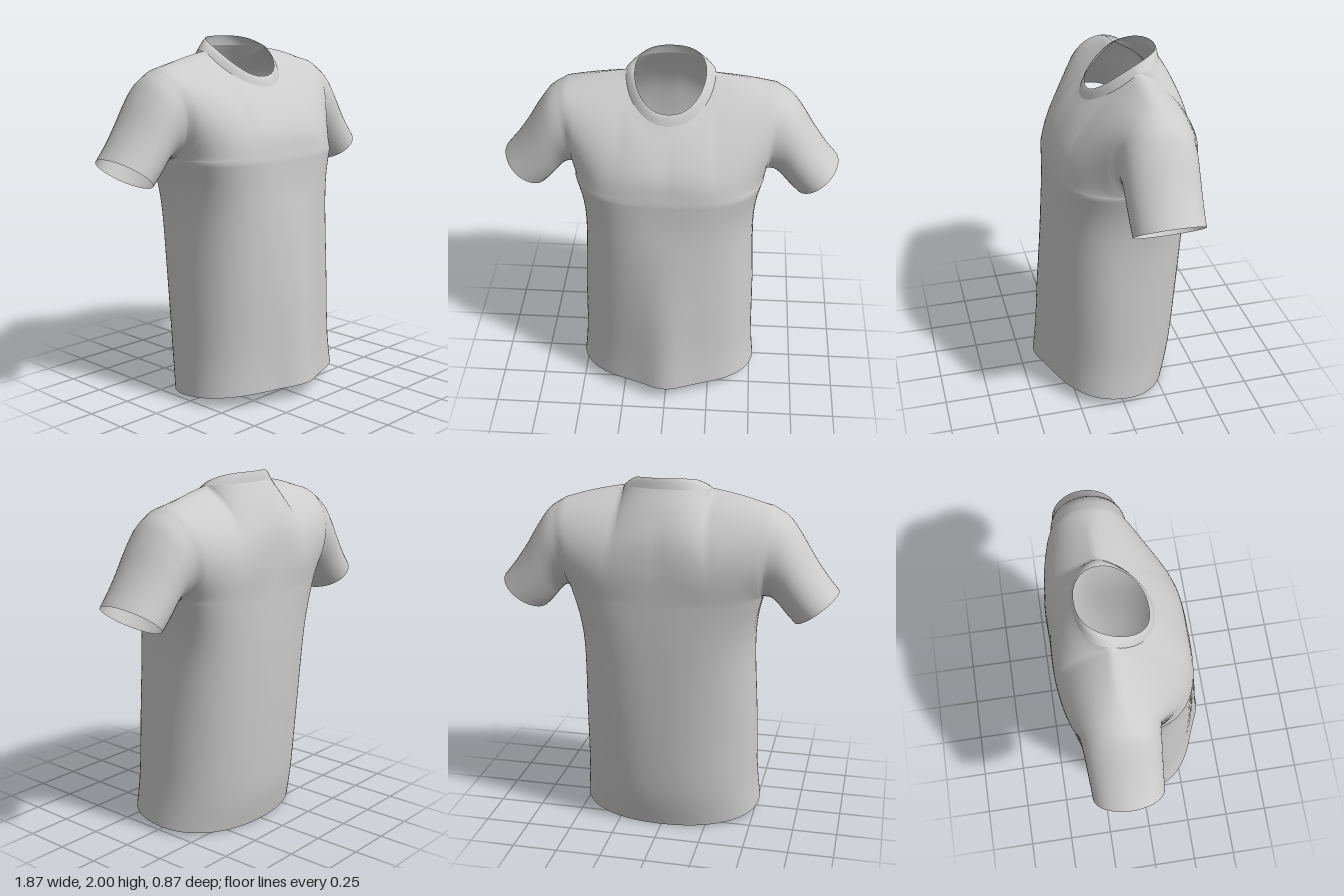
import * as THREE from 'three';
import { mergeGeometries, mergeVertices } from 'three/addons/utils/BufferGeometryUtils.js';

const V = (x, y, z) => new THREE.Vector3(x, y, z);
const N = 24;          // columns per half panel
const NECK = 10;       // column where the neckline meets the shoulder
const LOW = 30;        // rows from hem to armpit
const UP = 20;         // rows from armpit to shoulder
const MID_Z = -0.14;   // depth of the shoulder and armpit line

// Grid surface: i runs right and j runs up when seen from outside
function grid(nu, nv, point) {
  const pos = [], index = [];
  for (let j = 0; j <= nv; j++)
    for (let i = 0; i <= nu; i++) pos.push(...point(i, j).toArray());
  for (let j = 0; j < nv; j++)
    for (let i = 0; i < nu; i++) {
      const a = j * (nu + 1) + i, d = a + nu + 1;
      index.push(a, a + 1, d + 1, a, d + 1, d);
    }
  const g = new THREE.BufferGeometry();
  g.setAttribute('position', new THREE.Float32BufferAttribute(pos, 3));
  g.setIndex(index);
  return g;
}

function weld(parts) {
  const g = mergeVertices(mergeGeometries(parts), 1e-4);
  g.computeVertexNormals();
  return g;
}

// Torso sections: height, half width, seam z, front z, back z, squareness, centre ridge, hem tilt
const sections = [
  [0.04, 0.52, 0.02, 0.375, -0.34, 2.2, 0.055, 0.11],
  [0.25, 0.503, 0.0, 0.365, -0.385, 2.2, 0.045, 0.07],
  [0.6, 0.495, -0.03, 0.355, -0.412, 2.3, 0.03, 0.02],
  [1.0, 0.48, -0.08, 0.335, -0.428, 2.6, 0.01, 0],
  [1.2, 0.493, -0.115, 0.322, -0.432, 2.8, 0, 0],
  [1.36, 0.53, MID_Z, 0.315, -0.433, 3, 0, 0],
];
const splines = sections[0].map((_, k) =>
  new THREE.SplineCurve(sections.map((s, i) => new THREE.Vector2(i, s[k]))));

// Point on the torso below the armpits; u 0..1 from centre to side seam
function torso(u, t, front) {
  const [y, w, zs, zf, zb, n, ridge, tilt] = splines.map(c => c.getPoint(t).y);
  const s = Math.sin(u * Math.PI / 2);
  const f = u >= 1 ? 0 : Math.pow(1 - Math.pow(s, n), 1 / n);
  const x = w * s;
  let z = zs + ((front ? zf : zb) - zs) * f;
  if (front) z += ridge * Math.exp(-((x / 0.14) ** 2));
  return V(x, y + tilt * (z - zs), z);
}

// Sleeve outlines: top and underside, from armhole to cuff
const sleeveTop = new THREE.CatmullRomCurve3([V(0.57, 1.85, MID_Z), V(0.655, 1.795, MID_Z),
  V(0.72, 1.71, MID_Z), V(0.8, 1.58, MID_Z), V(0.87, 1.48, MID_Z), V(0.935, 1.4, MID_Z)]);
const sleeveUnder = new THREE.CatmullRomCurve3([V(0.53, 1.36, MID_Z), V(0.572, 1.358, MID_Z),
  V(0.605, 1.335, MID_Z), V(0.64, 1.295, MID_Z), V(0.67, 1.26, MID_Z), V(0.705, 1.225, MID_Z)]);

// Sleeve ring at t; a runs 0..2 from the underside up the front and down the back
function sleeve(t, a) {
  const p = sleeveUnder.getPoint(t).lerp(sleeveTop.getPoint(t), (1 - Math.cos(a * Math.PI)) / 2);
  const r = THREE.MathUtils.lerp(a < 1 ? 0.21 : 0.22, 0.19, Math.sqrt(t));
  p.z += r * Math.sin(a * Math.PI);
  return p;
}

// Neck seam around the collar; phi 0 is the front centre, PI the back centre
function neckSeam(phi) {
  const c = Math.cos(phi);
  return V(0.24 * Math.sin(phi), 1.93 + (c > 0 ? -0.195 : -0.015) * c, -0.13 + (c > 0 ? 0.25 : 0.17) * c);
}

// Upper edge of a panel: neckline, then shoulder seam
function topEdge(u, front) {
  const un = NECK / N;
  if (u <= un + 1e-9) {
    const q = u / un * Math.PI / 2;
    return neckSeam(front ? q : Math.PI - q);
  }
  const k = (u - un) / (1 - un);
  const p = neckSeam(Math.PI / 2).lerp(sleeveTop.getPoint(0), k);
  p.y += 0.008 * Math.sin(k * Math.PI);
  return p;
}

const centre = {
  front: new THREE.CatmullRomCurve3([V(0, 1.36, 0.315), V(0, 1.5, 0.283), V(0, 1.63, 0.205), V(0, 1.735, 0.12)]),
  back: new THREE.CatmullRomCurve3([V(0, 1.36, -0.433), V(0, 1.54, -0.434), V(0, 1.7, -0.415),
    V(0, 1.84, -0.36), V(0, 1.945, -0.3)]),
};

// Blend from centre line to armhole, easing the depth across the chest
function across(u, v, front) {
  const c = centre[front ? 'front' : 'back'].getPoint(v);
  const e = sleeve(0, front ? v : 2 - v);
  const g = Math.pow(u, 1.7);
  return V(e.x * u, c.y + (e.y - c.y) * g, c.z + (e.z - c.z) * g);
}

// Chest and upper back between the armpits and the shoulders
function yoke(u, v, front) {
  const low = torso(u, 1, front).sub(across(u, 0, front));
  const high = topEdge(u, front).sub(across(u, 1, front));
  const p = across(u, v, front).addScaledVector(low, (1 - v) ** 2).addScaledVector(high, v * v);
  p.z += (front ? 0.015 : -0.015) * Math.sin(v * Math.PI) * Math.sin(u * Math.PI);
  return p;
}

function panel(front) {
  return grid(2 * N, LOW + UP, (i, j) => {
    const s = (i - N) / N * (front ? 1 : -1), u = Math.abs(s);
    const p = j <= LOW ? torso(u, j / LOW, front) : yoke(u, (j - LOW) / UP, front);
    if (s < 0) p.x = -p.x;
    return p;
  });
}

function sleeveTube(side) {
  const n = 24;
  return grid(n, 2 * UP, (i, j) => {
    const p = sleeve(side > 0 ? i / n : 1 - i / n, j / UP);
    p.x *= side;
    return p;
  });
}

// Collar band from the neck seam to the open edge
function collarBand() {
  const n = 4 * NECK, rows = 4;
  return grid(n, rows, (i, j) => {
    const phi = (i % n) / n * Math.PI * 2, c = Math.cos(phi), s = Math.sin(phi);
    const edge = V(0.19 * Math.sign(s) * Math.pow(Math.abs(s), 0.88),
      1.79 + 0.21 * (0.72 - 0.5 * c - 0.22 * c * c), -0.0975 + 0.1875 * c);
    const k = j / rows;
    const p = neckSeam(phi).lerp(edge, k);
    p.y += 0.008 * Math.sin(k * Math.PI);
    return p;
  });
}

export function createModel() {
  const fabric = new THREE.MeshStandardMaterial({ color: 0xcccccc, side: THREE.DoubleSide });
  fabric.name = 'light grey fabric';
  const group = new THREE.Group();
  group.name = 'tShirt';
  const add = (name, geometry) => {
    const m = new THREE.Mesh(geometry, fabric);
    m.name = name;
    group.add(m);
  };
  // Panels and sleeves share welded seams so the cloth shades smoothly
  add('bodyAndSleeves', weld([panel(true), panel(false), sleeveTube(1), sleeveTube(-1)]));
  add('collar', weld([collarBand()]));
  return group;
}
